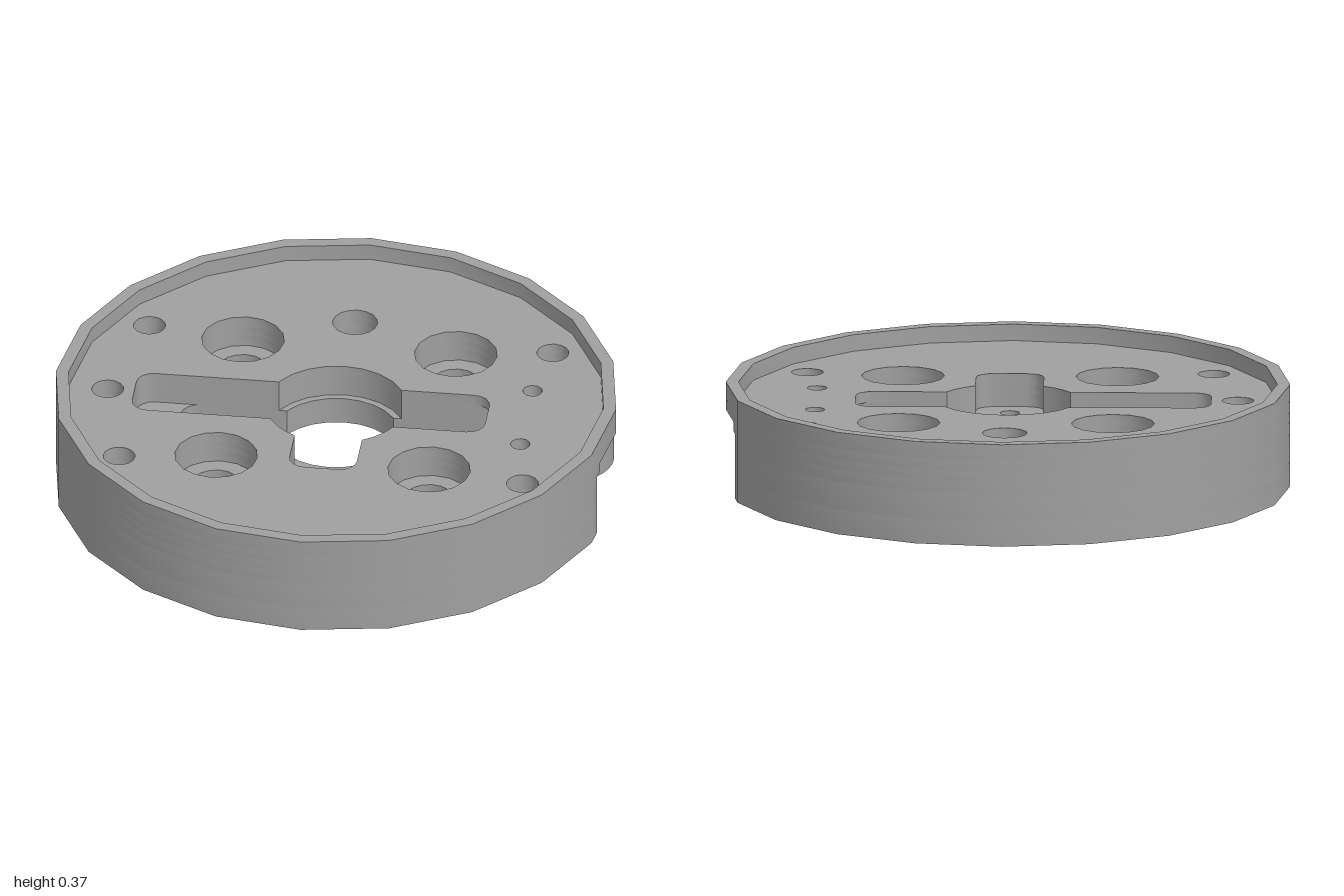
import * as THREE from 'three';
import { toCreasedNormals } from 'three/addons/utils/BufferGeometryUtils.js';

const SIDES = 20;
const V = (x, y) => new THREE.Vector2(x, y);

// Points on an elliptical arc, angles in radians
function arc(cx, cy, rx, ry, a0, a1, n) {
  return Array.from({ length: n + 1 }, (_, i) => {
    const a = a0 + ((a1 - a0) * i) / n;
    return V(cx + rx * Math.cos(a), cy + ry * Math.sin(a));
  });
}
const PI = Math.PI;
const corner = (cx, cy, quarter) => arc(cx, cy, 0.06, 0.06, (quarter * PI) / 2, ((quarter + 1) * PI) / 2, 4);
const circle = (x, z, r, n = 16) => arc(x, -z, r, r, 0, 2 * PI, n).slice(0, -1);

// Central slot with round middle, anticlockwise from its right end; plan Y is -z
function slot(left, r, tab, roundRight) {
  const a = Math.asin(0.12 / r);
  const mid = (a0, a1, n) => arc(0, 0, r, r, a0, a1, n);
  const low = tab
    ? [...mid(PI + a, 1.5 * PI - a, 3), ...corner(-0.06, -0.36, 2), ...corner(0.06, -0.36, 3), ...mid(1.5 * PI + a, 2 * PI - a, 3)]
    : mid(PI + a, 2 * PI - a, 8);
  return [
    ...(roundRight ? corner(0.48, 0.06, 0) : [V(0.54, 0.12)]),
    ...mid(a, PI - a, 8),
    ...corner(left + 0.06, 0.06, 1), ...corner(left + 0.06, -0.06, 2),
    ...low,
    ...(roundRight ? corner(0.48, -0.06, 3) : [V(0.54, -0.12)]),
  ];
}

// Disc outline opened at +x by a flared channel that leads into an inner cutout
function openDisc(hw, upperSteps, inner) {
  const mouthX = 1 - (0.049 * hw) / 0.309;
  const upper = [...upperSteps, ...arc(0.81, hw, mouthX - 0.81, hw - 0.08, -PI / 2, 0, 8)];
  const lower = upper.map((p) => V(p.x, -p.y)).reverse();
  const rim = circle(0, 0, 1, SIDES).slice(1);
  return [...rim, ...lower, ...inner.slice().reverse(), ...upper];
}

export function createModel() {
  const group = new THREE.Group();
  const metal = new THREE.MeshStandardMaterial({ color: 0xa0a0a0 });
  const innerMetal = metal;

  function layer(name, y0, y1, outline, holes) {
    const shape = new THREE.Shape(outline);
    shape.holes = holes.map((h) => new THREE.Path(h));
    const geo = new THREE.ExtrudeGeometry(shape, { depth: y1 - y0, bevelEnabled: false });
    geo.rotateX(-PI / 2);
    const mesh = new THREE.Mesh(toCreasedNormals(geo, 0.6), metal);
    mesh.position.y = y0;
    mesh.name = name;
    group.add(mesh);
  }

  // Hole positions
  const bolts = [[-0.38, -0.38], [0.38, -0.38], [-0.38, 0.38], [0.38, 0.38]];
  const dimples = [[-0.72, -0.43], [0.72, -0.43], [-0.72, 0.43], [0.72, 0.43], [-0.815, 0]];
  const rearHole = circle(0, -0.54, 0.08);
  const upperHoles = [
    rearHole,
    ...bolts.map(([x, z]) => circle(x, z, 0.147)),
    ...dimples.map(([x, z]) => circle(x, z, 0.057)),
    ...[-0.175, 0.175].map((z) => circle(0.68, z, 0.035, 12)),
  ];
  const lowerHoles = [
    rearHole,
    ...bolts.map(([x, z]) => circle(x, z, 0.087)),
    circle(0, 0.32, 0.035, 12),
    circle(-0.625, 0, 0.035, 12),
  ];

  // Bottom ring around the underside recess, with the side pocket
  const a = Math.asin(0.25 / 0.667);
  const recess = arc(0, 0, 0.667, 0.667, a, 2 * PI - a, SIDES);
  const pocketOuter = [V(0.79, 0.25), V(0.79, 0.08)];
  layer('bottomRing', 0, 0.09, openDisc(0.24, pocketOuter, recess), []);

  // Lower plate: through slot, bolt holes and the side pocket
  layer('lowerPlate', 0.09, 0.19,
    openDisc(0.24, [V(0.54, 0.25), ...pocketOuter], slot(-0.56, 0.225, false, false)), lowerHoles);

  // Middle plates: counterbores and the side channel, its mouth narrowing upward
  const wideSlot = slot(-0.72, 0.25, true, false);
  layer('middlePlate', 0.19, 0.235, openDisc(0.24, [V(0.54, 0.08)], wideSlot), upperHoles);
  layer('middlePlateUpper', 0.235, 0.27, openDisc(0.2, [V(0.54, 0.08)], wideSlot), upperHoles);

  // Floor plate closing the channel, then the raised rim
  layer('floorPlate', 0.27, 0.31, circle(0, 0, 1, SIDES), [slot(-0.72, 0.25, true, true), ...upperHoles]);
  layer('rim', 0.31, 0.37, circle(0, 0, 1, SIDES), [circle(0, 0, 0.955, SIDES)]);

  // Arched roof of the side channel
  const archShape = new THREE.Shape([
    ...arc(0, 0.19, 0.08, 0.078, PI, 0, 12), V(0.08, 0.27), V(-0.08, 0.27),
  ]);
  const archGeo = new THREE.ExtrudeGeometry(archShape, { depth: 0.28, bevelEnabled: false });
  archGeo.rotateY(PI / 2);
  const arch = new THREE.Mesh(toCreasedNormals(archGeo, 0.6), innerMetal);
  arch.position.x = 0.54;
  arch.name = 'channelArch';
  group.add(arch);

  // Conical bottoms of the blind holes, facing up
  const coneGeo = new THREE.LatheGeometry([V(0.0005, 0.2), V(0.058, 0.235)], 16);
  const coneMetal = metal;
  coneMetal.side = THREE.DoubleSide;
  for (const [x, z] of dimples) {
    const cone = new THREE.Mesh(coneGeo, coneMetal);
    cone.position.set(x, 0, z);
    cone.name = 'dimpleBottom';
    group.add(cone);
  }
  return group;
}
